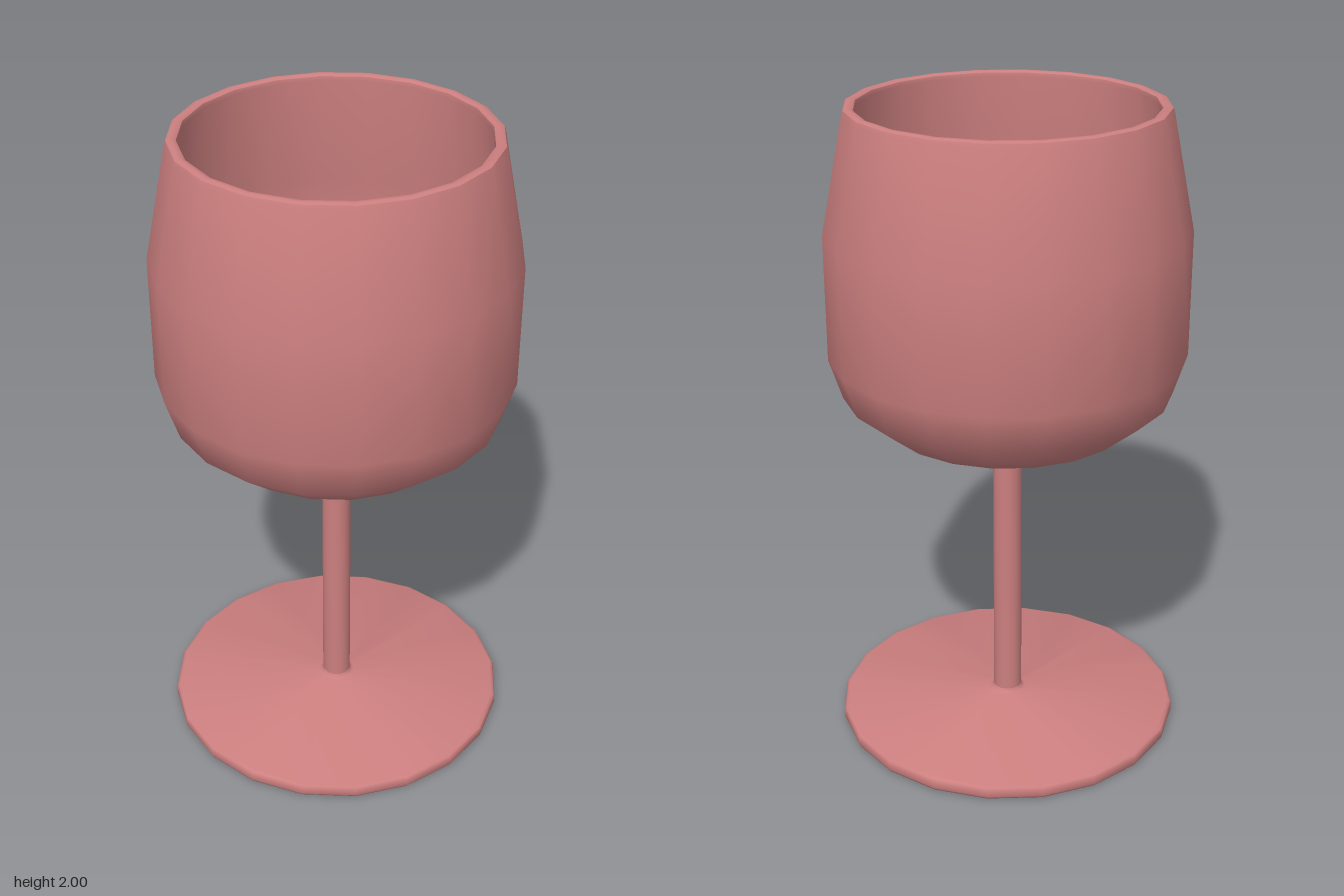
import * as THREE from 'three';
import { toCreasedNormals } from 'three/addons/utils/BufferGeometryUtils.js';

const SIDES = 20;
const STEM = 0.045;

export function createModel() {
  const group = new THREE.Group();
  group.name = 'wineGlass';
  const material = new THREE.MeshStandardMaterial({ color: 0xcc7f7f });

  // Turns a [radius, height] profile around the y axis
  function turned(name, profile) {
    const points = profile.map(([r, y]) => new THREE.Vector2(r, y));
    const geometry = toCreasedNormals(new THREE.LatheGeometry(points, SIDES), 0.75);
    const mesh = new THREE.Mesh(geometry, material);
    mesh.name = name;
    group.add(mesh);
  }

  // Flat disc with a softened edge, rising slightly into the stem
  turned('foot', [
    [0, 0], [0.53, 0], [0.536, 0.004], [0.54, 0.012], [0.54, 0.034],
    [0.536, 0.041], [0.528, 0.045], [0.06, 0.062], [0.05, 0.066], [STEM, 0.076],
  ]);

  turned('stem', [[STEM, 0.076], [STEM, 0.925]]);

  // Outer wall up to the rounded rim, then down the inner wall to the centre
  turned('bowl', [
    [STEM, 0.925], [0.05, 0.933], [0.06, 0.938],
    [0.22, 0.97], [0.38, 1.035], [0.5, 1.135], [0.54, 1.26], [0.54, 1.64],
    [0.471, 1.985], [0.467, 1.996], [0.458, 2], [0.447, 2], [0.438, 1.995], [0.436, 1.983],
    [0.507, 1.635], [0.507, 1.266], [0.473, 1.156], [0.365, 1.064],
    [0.212, 1.002], [0.055, 0.971], [0, 0.968],
  ]);

  return group;
}
